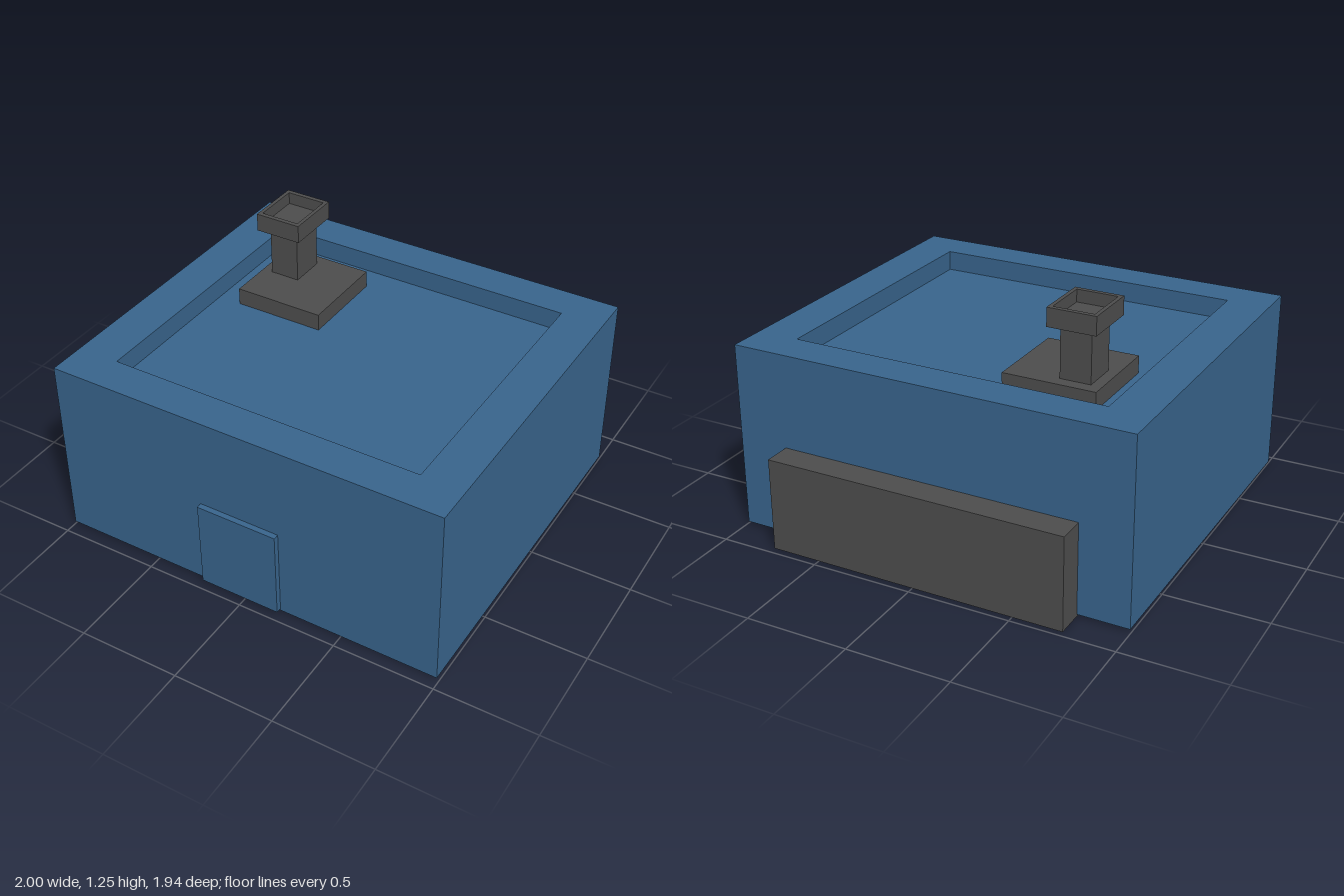
import * as THREE from 'three';

const blue = new THREE.MeshStandardMaterial({ color: 0x38648c, flatShading: true });
const grey = new THREE.MeshStandardMaterial({ color: 0x4d4d4d, flatShading: true });
const openGrey = new THREE.MeshStandardMaterial({ color: 0x4d4d4d, flatShading: true, side: THREE.DoubleSide });

// Rectangular block: a [fraction of half width, y] profile swept round four sides
function block(name, material, width, depth, x, z, profile) {
  const points = profile.map(([r, y]) => new THREE.Vector2(r * Math.SQRT1_2, y));
  const lathe = new THREE.LatheGeometry(points, 4, Math.PI / 4);
  lathe.scale(width, 1, depth);
  const geometry = lathe.toNonIndexed();
  geometry.computeVertexNormals();
  const mesh = new THREE.Mesh(geometry, material);
  mesh.name = name;
  mesh.position.set(x, 0, z);
  return mesh;
}

// Closed box profile between two heights
const solid = (y0, y1) => [[0, y0], [1, y0], [1, y1], [0, y1]];

export function createModel() {
  const model = new THREE.Group();
  model.name = 'flatRoofBuilding';

  // Walls, with a sunken roof above and an open cavity below
  const inner = 0.788;
  model.add(block('building', blue, 1.99, 1.77, -0.002, 0.055, [
    [0, 0.4], [inner, 0.4], [inner, 0.01], [1, 0.01],
    [1, 0.925], [inner, 0.925], [inner, 0.825], [0, 0.825],
  ]));

  // Door slab on the front
  model.add(block('door', blue, 0.41, 0.08, -0.015, 0.928, solid(0.02, 0.465)));

  // Rear annex, open underneath and running through the back wall
  model.add(block('rearAnnex', openGrey, 1.49, 0.465, -0.002, -0.734,
    [[1, 0], [1, 0.46], [0, 0.46]]));

  // Chimney: base on the sunken roof, shaft and hollow cap
  const chimney = new THREE.Group();
  chimney.name = 'chimney';
  chimney.add(
    block('chimneyBase', grey, 0.455, 0.455, -0.44, -0.283, solid(0.82, 0.91)),
    block('chimneyShaft', grey, 0.15, 0.18, -0.54, -0.36, solid(0.9, 1.17)),
    block('chimneyCap', grey, 0.235, 0.28, -0.54, -0.36, [
      [0, 1.16], [1, 1.16], [1, 1.25], [0.84, 1.25], [0.84, 1.19], [0, 1.19],
    ]),
  );
  model.add(chimney);

  // The whole building sits very slightly turned
  model.rotation.y = -0.005;
  return model;
}
